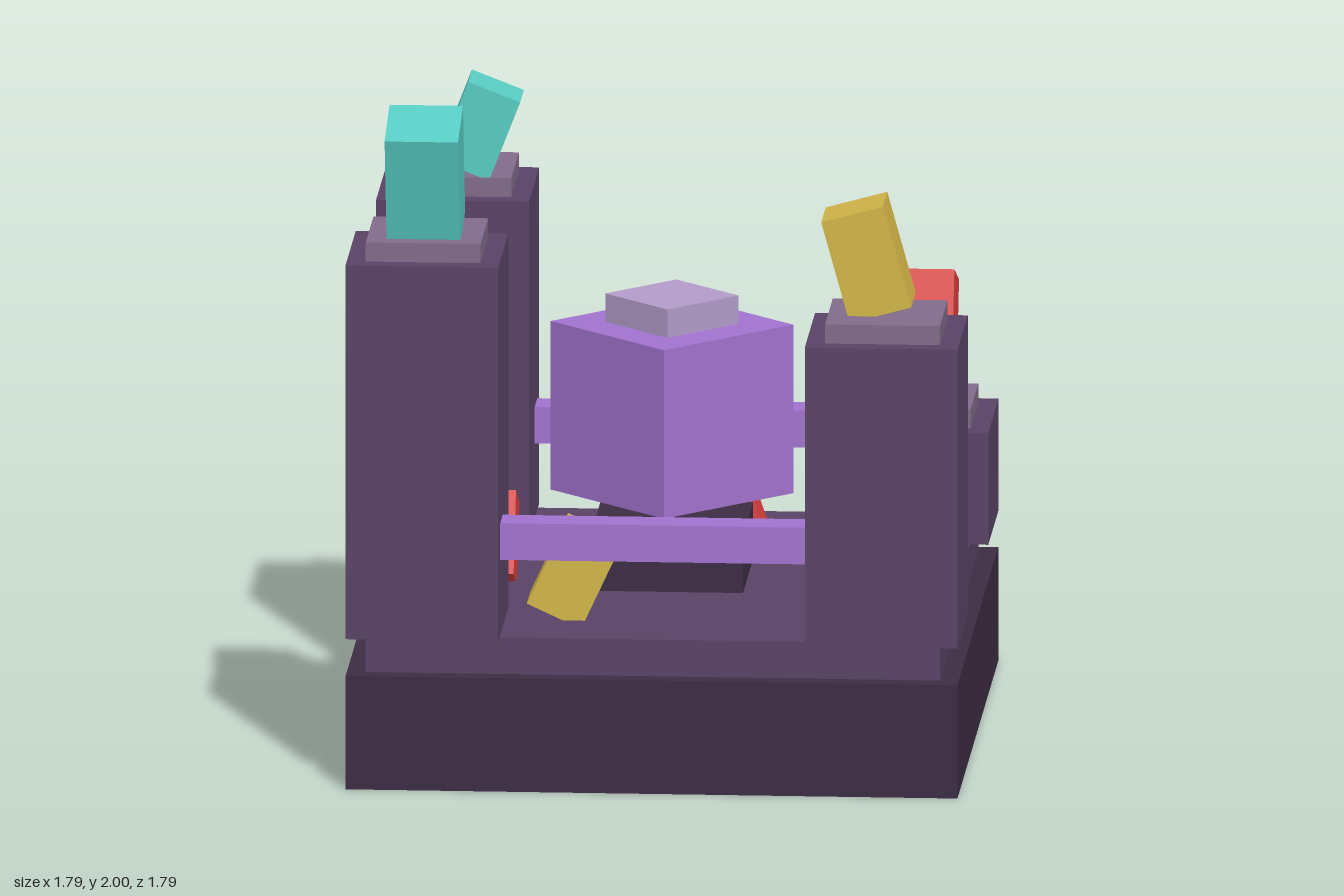
import * as THREE from 'three';

const material = (name, color) => {
  const m = new THREE.MeshStandardMaterial({ color });
  m.name = name;
  return m;
};

export function createModel() {
  const dark = material('dark stone', 0x3d2c44);
  const stone = material('purple stone', 0x5a4366);
  const trim = material('grey purple trim', 0x816c8a);
  const violet = material('violet', 0xa273d0);
  const lilac = material('pale lilac', 0xb39cca);
  const teal = material('teal', 0x58ccc3);
  const red = material('red', 0xdb4040);
  const yellow = material('yellow', 0xd2b648);

  const model = new THREE.Group();
  model.name = 'courtyard';

  const box = (name, mat, [w, h, d], [x, y, z], [rx, ry, rz] = [0, 0, 0]) => {
    const mesh = new THREE.Mesh(new THREE.BoxGeometry(w, h, d), mat);
    mesh.name = name;
    mesh.position.set(x, y, z);
    mesh.rotation.set(rx, ry, rz);
    model.add(mesh);
  };
  // Upright box given by its bottom and top heights
  const slab = (name, mat, w, d, y0, y1, x = 0, z = 0, turn = 0) =>
    box(name, mat, [w, y1 - y0, d], [x, (y0 + y1) / 2, z], [0, turn, 0]);

  // Stepped base
  slab('base', dark, 1.79, 1.79, 0, 0.34);
  slab('floor', stone, 1.68, 1.68, 0.34, 0.45);

  // Corner towers with caps
  const towers = [[-1, 1, 1.57], [1, 1, 1.345], [1, -1, 0.785], [-1, -1, 1.457]];
  for (const [sx, sz, top] of towers) {
    slab('tower', stone, 0.447, 0.447, 0.45, top, sx * 0.672, sz * 0.672);
    slab('towerCap', trim, 0.336, 0.336, top, top + 0.057, sx * 0.672, sz * 0.672);
  }

  // Rails between the towers
  for (const s of [-1, 1]) {
    slab('rail', violet, 0.9, 0.11, 0.675, 0.785, 0, s * 0.755);
    slab('rail', violet, 0.11, 0.9, 0.675, 0.785, s * 0.755, 0);
  }

  // Pedestal with a floating core turned by 45 degrees
  slab('pedestal', dark, 0.445, 0.445, 0.45, 0.62);
  slab('core', violet, 0.502, 0.502, 0.7, 1.205, 0, 0, Math.PI / 4);
  slab('coreCap', lilac, 0.276, 0.276, 1.205, 1.29, 0, 0, Math.PI / 4);

  // Tilted blocks on the towers
  box('towerBlock', teal, [0.215, 0.35, 0.225], [-0.675, 1.8, 0.72], [0.27, 0, 0]);
  box('towerBlock', yellow, [0.187, 0.312, 0.195], [0.617, 1.556, 0.63], [0, 0, 0.27]);
  box('towerBlock', red, [0.22, 0.353, 0.217], [0.67, 1.014, -0.732], [-0.36, 0, 0]);
  box('towerBlock', teal, [0.163, 0.253, 0.163], [-0.6, 1.652, -0.59], [0, 0, -0.37]);

  // Tilted blocks on the floor
  box('floorBlock', yellow, [0.175, 0.26, 0.162], [-0.25, 0.58, 0.53], [0, 0, -0.436]);
  box('floorBlock', red, [0.136, 0.218, 0.14], [0.143, 0.555, -0.52], [0, 0, 0.33]);
  box('floorBlock', red, [0.165, 0.25, 0.17], [-0.532, 0.572, 0.08], [-0.43, 0, 0]);
  box('floorBlock', teal, [0.2, 0.307, 0.197], [0.545, 0.603, 0.125], [0.35, 0, 0]);

  return model;
}
